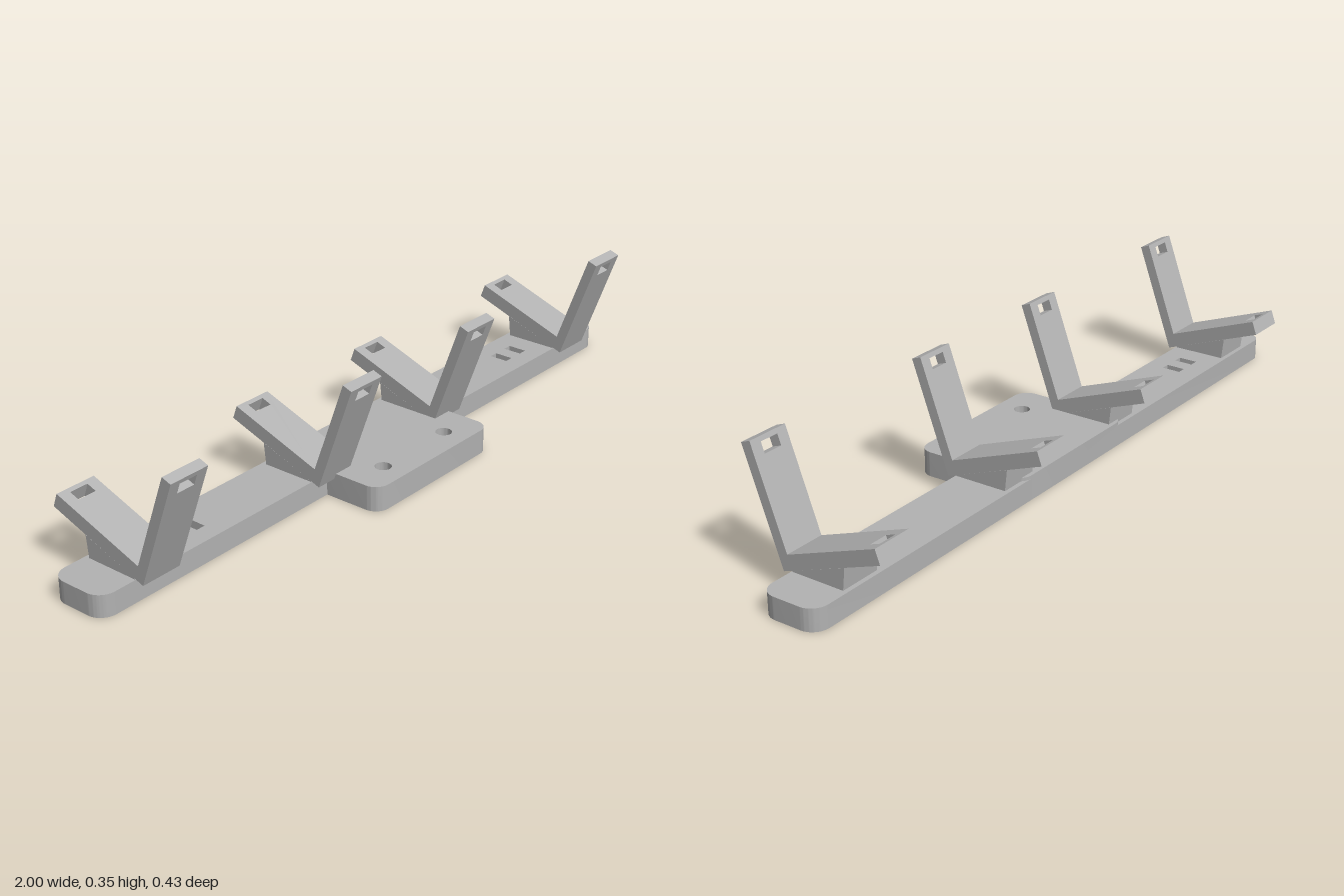
import * as THREE from 'three';
import { toCreasedNormals } from 'three/addons/utils/BufferGeometryUtils.js';

const grey = new THREE.MeshStandardMaterial({ color: 0xb2b2b2 });
grey.name = 'grey plastic';

const BRACKET_WIDTH = 0.115;
const TILT = THREE.MathUtils.degToRad(20);

function mesh(geometry, name) {
  const m = new THREE.Mesh(geometry, grey);
  m.name = name;
  return m;
}

function extrude(shape, depth) {
  const g = new THREE.ExtrudeGeometry(shape, { depth, bevelEnabled: false, curveSegments: 12 });
  return toCreasedNormals(g, 0.5);
}

// Rectangle between two corners, with rounded corners of radius r
function roundedRect(x0, y0, x1, y1, r) {
  const s = new THREE.Shape();
  s.absarc(x1 - r, y0 + r, r, -Math.PI / 2, 0);
  s.absarc(x1 - r, y1 - r, r, 0, Math.PI / 2);
  s.absarc(x0 + r, y1 - r, r, Math.PI / 2, Math.PI);
  s.absarc(x0 + r, y0 + r, r, Math.PI, Math.PI * 1.5);
  s.closePath();
  return s;
}

function rect(Type, cx, cy, w, h) {
  return new Type([[-1, -1], [1, -1], [1, 1], [-1, 1]]
    .map(([a, b]) => new THREE.Vector2(cx + a * w / 2, cy + b * h / 2)));
}

// Flat arm standing on its base edge, with a slot near the tip
function slottedArm(length, thickness, name) {
  const s = rect(THREE.Shape, 0, length / 2, BRACKET_WIDTH, length);
  s.holes.push(rect(THREE.Path, 0, length - 0.027, 0.053, 0.029));
  return mesh(extrude(s, thickness), name);
}

// Tilted L-shaped cradle on a wedge foot
function bracket(x) {
  const g = new THREE.Group();
  g.name = 'bracket';
  g.position.x = x;

  const cradle = new THREE.Group();
  cradle.name = 'cradle';
  cradle.position.set(0, 0.0616, 0.047);
  cradle.rotation.x = TILT;
  const rearArm = slottedArm(0.276, 0.039, 'rearArm');
  rearArm.rotation.x = -Math.PI / 2;
  cradle.add(slottedArm(0.311, 0.028, 'frontArm'), rearArm);

  const profile = new THREE.Shape([[-0.047, 0.0616], [-0.049, 0.055], [0.102, 0.055], [0.109, 0.118]]
    .map(([a, b]) => new THREE.Vector2(a, b)));
  const foot = mesh(extrude(profile, BRACKET_WIDTH), 'wedgeFoot');
  foot.rotation.y = Math.PI / 2;
  foot.position.x = -BRACKET_WIDTH / 2;

  g.add(cradle, foot);
  return g;
}

export function createModel() {
  const model = new THREE.Group();
  model.name = 'bracketRail';

  // Long rail with pairs of slots (shape y is -z)
  const railShape = roundedRect(-1, -0.05, 1, 0.115, 0.045);
  for (const x of [-0.698, -0.63, 0.63, 0.698]) {
    railShape.holes.push(rect(THREE.Path, x, 0.03, 0.026, 0.054));
  }
  const rail = mesh(extrude(railShape, 0.059), 'rail');
  rail.rotation.x = -Math.PI / 2;

  // Central mounting plate with two screw holes
  const plateShape = roundedRect(-0.233, -0.215, 0.233, 0.115, 0.04);
  for (const x of [-0.126, 0.126]) {
    plateShape.holes.push(new THREE.Path().absarc(x, -0.144, 0.022, 0, Math.PI * 2, true));
  }
  const plate = mesh(extrude(plateShape, 0.068), 'mountingPlate');
  plate.rotation.x = -Math.PI / 2;

  model.add(rail, plate);
  for (const x of [-0.835, -0.234, 0.232, 0.835]) model.add(bracket(x));
  return model;
}
